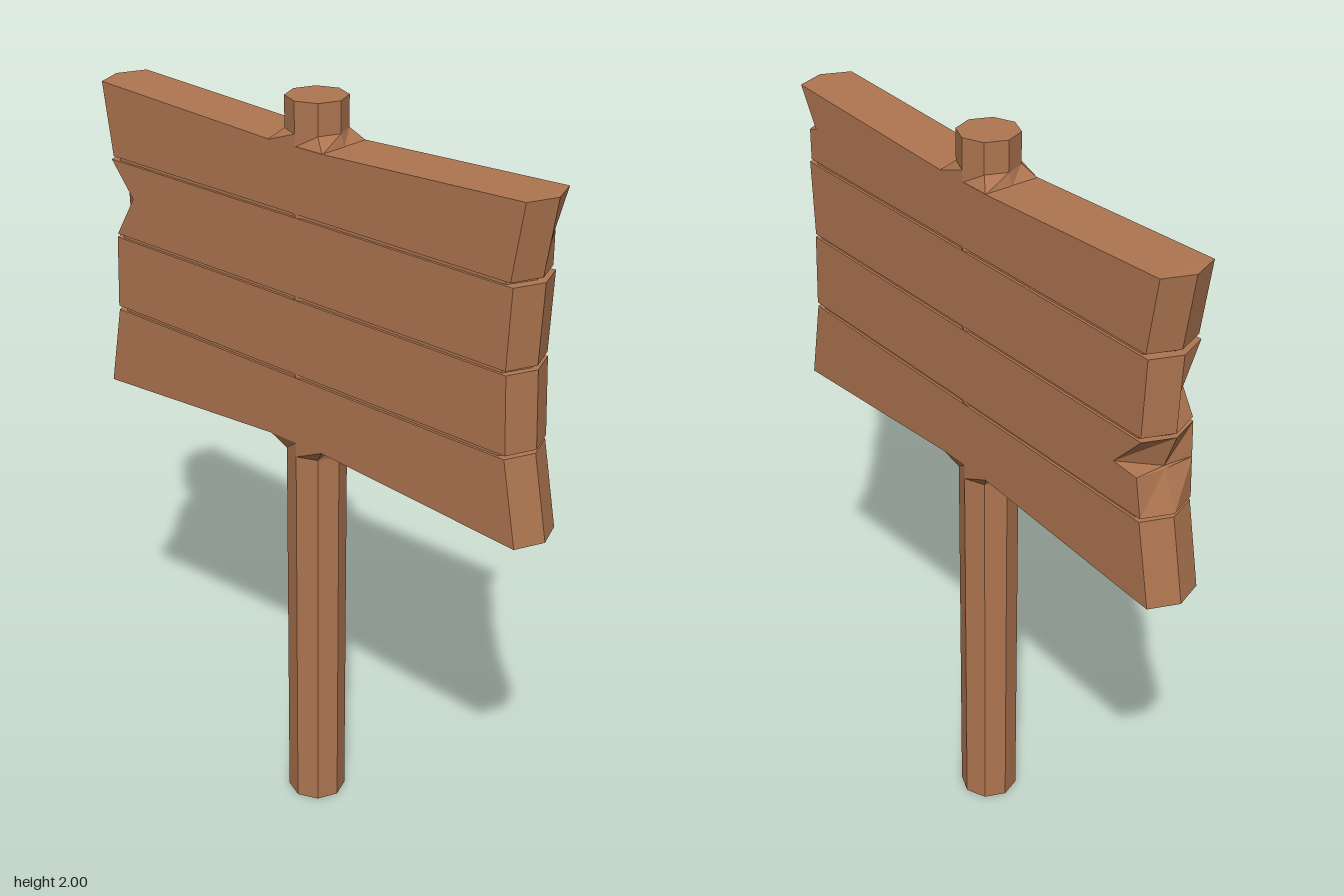
import * as THREE from 'three';

const HALF = 0.078; // half thickness of the board and radius of the post
const MID = 0.09; // half length of the level stretch beside the post
const wood = new THREE.MeshStandardMaterial({ color: 0xae7550, flatShading: true });

// Solid from equal rings of [x, y, z], listed bottom to top, counterclockwise from above
function loft(name, rings, caps = []) {
  const n = rings[0].length;
  const index = [];
  for (let r = 0; r < rings.length - 1; r++) {
    for (let i = 0; i < n; i++) {
      const a = r * n + i, b = r * n + (i + 1) % n;
      index.push(a, b, b + n, a, b + n, a + n);
    }
  }
  const last = (rings.length - 1) * n;
  for (const [a, b, c] of caps) index.push(c, b, a, last + a, last + b, last + c);
  let geo = new THREE.BufferGeometry();
  geo.setAttribute('position', new THREE.Float32BufferAttribute(rings.flat(2), 3));
  geo.setIndex(index);
  geo = geo.toNonIndexed();
  geo.computeVertexNormals();
  const mesh = new THREE.Mesh(geo, wood);
  mesh.name = name;
  return mesh;
}

const PLANK_CAPS = [[0, 1, 9], [1, 2, 8], [1, 8, 9], [2, 3, 7], [2, 7, 8], [3, 4, 6], [3, 6, 7], [4, 5, 6]];

// Plank with pointed ends. bottom and top: [y at ends, y at middle, tip z].
// chips: [height fraction, { ring corner: new z }]
function plank(name, bottom, top, chips = [], half = HALF) {
  const rings = [[0, {}], ...chips, [1, {}]].map(([t, moved]) => {
    const [yEnd, yMid, tip] = bottom.map((v, i) => THREE.MathUtils.lerp(v, top[i], t));
    const edge = tip - 0.032;
    const outline = [
      [0, tip], [half, edge], [half, MID], [half, -MID], [half, -edge],
      [0, -tip], [-half, -edge], [-half, -MID], [-half, MID], [-half, edge],
    ];
    return outline.map(([x, z], i) => [x, Math.abs(z) > MID ? yEnd : yMid, moved[i] ?? z]);
  });
  return loft(name, rings, PLANK_CAPS);
}

// Flare from the octagonal post to the board's width
function collar(name, yPost, yBoard) {
  const ring = (y, rz, cx, cz) => [
    [0, y, rz], [cx, y, cz], [HALF, y, 0], [cx, y, -cz],
    [0, y, -rz], [-cx, y, -cz], [-HALF, y, 0], [-cx, y, cz],
  ];
  const rings = [ring(yPost, HALF, 0.055, 0.055), ring(yBoard, MID, HALF, MID)];
  return loft(name, yPost < yBoard ? rings : rings.reverse());
}

export function createModel() {
  const group = new THREE.Group();
  group.name = 'woodenSign';

  // Post
  const post = new THREE.Mesh(new THREE.CylinderGeometry(HALF, HALF, 2, 8), wood);
  post.name = 'post';
  post.position.y = 1;
  group.add(post);
  group.add(collar('lowerCollar', 1.065, 1.106), collar('upperCollar', 1.92, 1.888));

  // Board, bottom plank first, with chipped corners
  group.add(
    plank('bottomPlank', [1.065, 1.105, 0.74], [1.287, 1.287, 0.698]),
    plank('lowerMiddlePlank', [1.297, 1.297, 0.7], [1.497, 1.497, 0.692],
      [[0.51, { 4: -0.65, 5: -0.66 }], [0.54, { 4: -0.57, 5: -0.655 }]]),
    plank('upperMiddlePlank', [1.507, 1.507, 0.69], [1.711, 1.711, 0.7],
      [[0.55, { 6: -0.59 }]]),
    plank('topPlank', [1.721, 1.721, 0.692], [1.915, 1.89, 0.724],
      [[0.43, { 1: 0.66 }], [0.47, { 1: 0.63 }]]),
  );

  // Thin recessed strips in the seams
  for (const y of [1.292, 1.502, 1.716]) {
    group.add(plank('seam', [y - 0.008, y - 0.008, 0.675], [y + 0.008, y + 0.008, 0.675], [], 0.071));
  }
  return group;
}
